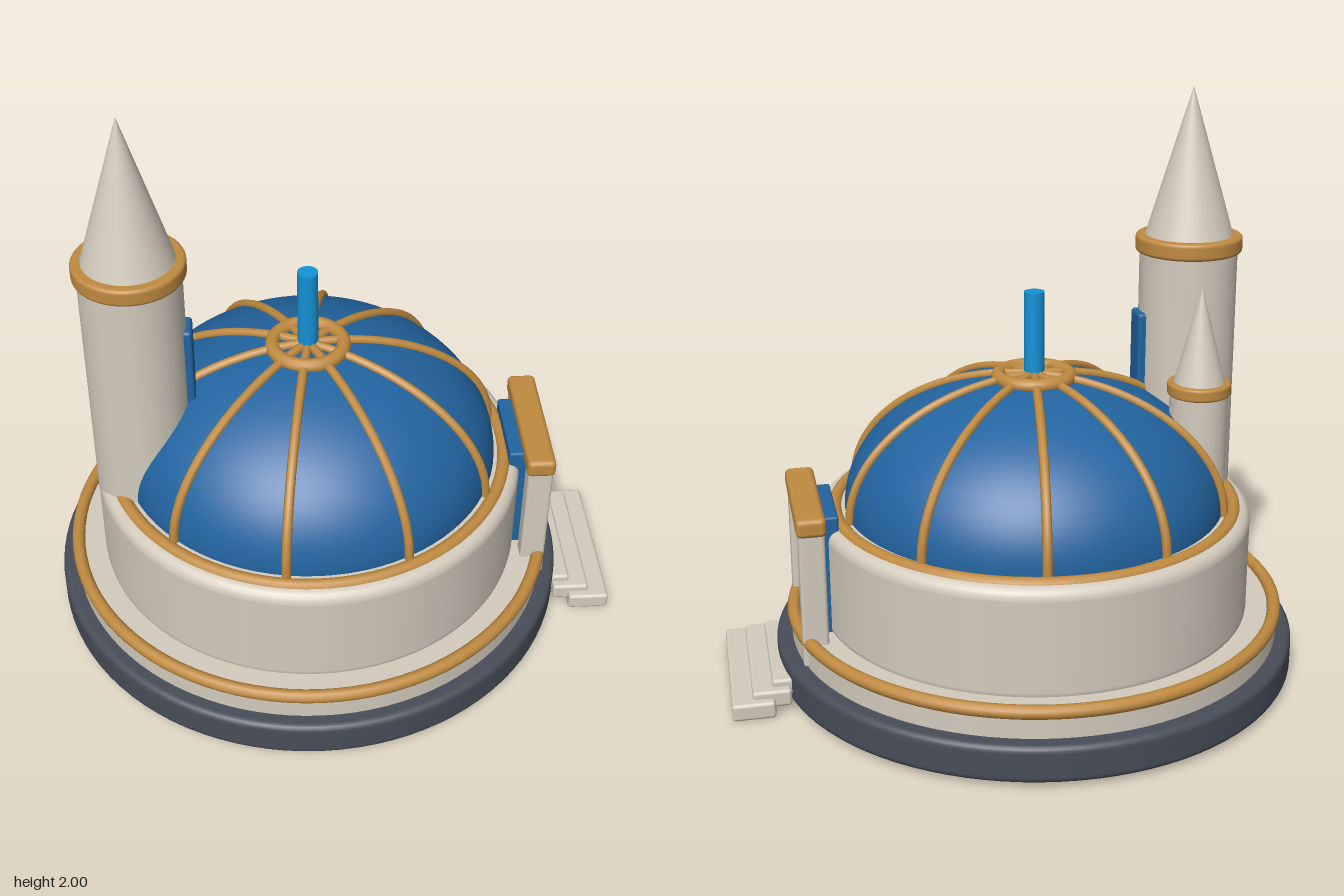
import * as THREE from 'three';
import { RoundedBoxGeometry } from 'three/addons/geometries/RoundedBoxGeometry.js';

const mat = (name, color) => {
  const m = new THREE.MeshStandardMaterial({ color });
  m.name = name;
  return m;
};

export function createModel() {
  const stone = mat('stone', 0xd3cbbd);
  const gold = mat('gold', 0xbf8a40);
  const slate = mat('slate', 0x474d58);
  const blue = mat('blue', 0x2264a0);
  const cyan = mat('bright blue', 0x1592d6);

  const model = new THREE.Group();
  model.name = 'domedPalace';
  const hall = new THREE.Group();
  hall.name = 'hall';
  hall.position.set(-0.032, 0, -0.032);
  model.add(hall);

  function add(parent, name, geometry, material, x = 0, y = 0, z = 0) {
    const mesh = new THREE.Mesh(geometry, material);
    mesh.name = name;
    mesh.position.set(x, y, z);
    parent.add(mesh);
    return mesh;
  }

  // Round drum with rounded rims; the extra points keep flats and sides crisp
  function drum(r, y0, y1, b, seg = 96) {
    const pts = [new THREE.Vector2(0, y0), new THREE.Vector2(r - b - 0.003, y0)];
    const arc = (cy, from) => {
      for (let i = 0; i <= 5; i++) {
        const a = from + (i / 5) * Math.PI / 2;
        pts.push(new THREE.Vector2(r - b + b * Math.cos(a), cy + b * Math.sin(a)));
      }
    };
    arc(y0 + b, -Math.PI / 2);
    pts.push(new THREE.Vector2(r, y0 + b + 0.003), new THREE.Vector2(r, y1 - b - 0.003));
    arc(y1 - b, 0);
    pts.push(new THREE.Vector2(r - b - 0.003, y1), new THREE.Vector2(0, y1));
    return new THREE.LatheGeometry(pts, seg);
  }
  const ring = (r, tube, seg = 96) => new THREE.TorusGeometry(r, tube, 12, seg).rotateX(Math.PI / 2);

  // Stacked round base and wall
  add(hall, 'foundation', drum(0.915, 0.018, 0.147, 0.022), slate);
  add(hall, 'terrace', drum(0.86, 0.13, 0.23, 0.015), stone);
  add(hall, 'terraceRing', ring(0.851, 0.023), gold, 0, 0.235);
  add(hall, 'wall', drum(0.753, 0.2, 0.6, 0.04), stone);
  add(hall, 'domeRing', ring(0.695, 0.024), gold, 0, 0.592);

  // Dome: half ellipsoid
  const DOME_R = 0.66, DOME_H = 0.45, DOME_Y = 0.6;
  const domeGeo = new THREE.SphereGeometry(1, 80, 28, 0, Math.PI * 2, 0, Math.PI / 2);
  domeGeo.scale(DOME_R, DOME_H, DOME_R);
  add(hall, 'dome', domeGeo, blue, 0, DOME_Y);

  // Ten ribs running from the rim to the crown
  const ribPoints = [];
  for (let i = 0; i <= 12; i++) {
    const a = (i / 12) * Math.PI / 2;
    ribPoints.push(new THREE.Vector3((DOME_R + 0.007) * Math.cos(a), (DOME_H + 0.004) * Math.sin(a), 0));
  }
  const ribGeo = new THREE.TubeGeometry(new THREE.CatmullRomCurve3(ribPoints), 36, 0.016, 8);
  for (let i = 0; i < 10; i++) {
    add(hall, 'domeRib', ribGeo, gold, 0, DOME_Y).rotation.y = (i * Math.PI) / 5;
  }
  add(hall, 'crownRing', ring(0.122, 0.025, 48), gold, 0, 1.048);
  add(hall, 'finial', new THREE.CylinderGeometry(0.035, 0.035, 0.33, 32), cyan, 0, 1.18);

  // Towers: shaft, collar and pointed roof
  function tower(name, x, z, r, y0, collarY, collarH, roofR, tipY) {
    const g = new THREE.Group();
    g.name = name;
    g.position.set(x, 0, z);
    model.add(g);
    const h = collarY + 0.01 - y0;
    add(g, 'towerShaft', new THREE.CylinderGeometry(r, r, h, 48), stone, 0, y0 + h / 2);
    add(g, 'towerCollar', drum(r * 1.09, collarY, collarY + collarH, collarH * 0.2, 48), gold);
    const roofH = tipY - collarY - collarH;
    add(g, 'towerRoof', new THREE.ConeGeometry(roofR, roofH, 48), stone, 0, collarY + collarH + roofH / 2);
    return g;
  }
  const tall = tower('tallTower', -0.515, -0.362, 0.17, 0.55, 1.433, 0.06, 0.152, 2.0);
  tower('smallTower', -0.33, -0.512, 0.1, 0.58, 0.985, 0.045, 0.087, 1.36);

  // Tall panel on the inner side of the tower
  const panel = add(tall, 'towerWindow', new RoundedBoxGeometry(0.1, 0.4, 0.04, 3, 0.012), blue, 0.12, 1.025, 0.12);
  panel.rotation.y = Math.PI / 4;

  // Entrance, turned towards the front left; local z points outwards
  const entrance = new THREE.Group();
  entrance.name = 'entrance';
  entrance.rotation.y = Math.PI / 4;
  hall.add(entrance);
  add(entrance, 'door', new RoundedBoxGeometry(0.31, 0.46, 0.08, 2, 0.008), blue, 0, 0.42, 0.74);
  for (const s of [-1, 1]) {
    add(entrance, 'doorPillar', new RoundedBoxGeometry(0.07, 0.5, 0.088, 3, 0.012), stone, s * 0.208, 0.4, 0.798);
  }
  add(entrance, 'lintel', new RoundedBoxGeometry(0.5, 0.066, 0.1, 3, 0.018), gold, 0, 0.652, 0.798);
  const steps = [[0.58, 0.145, 1.016], [0.52, 0.13, 0.953], [0.46, 0.12, 0.89]];
  steps.forEach(([w, d, z], i) => {
    add(entrance, 'step', new RoundedBoxGeometry(w, 0.06, d, 3, 0.012), stone, 0, 0.03 + i * 0.024, z);
  });

  return model;
}
